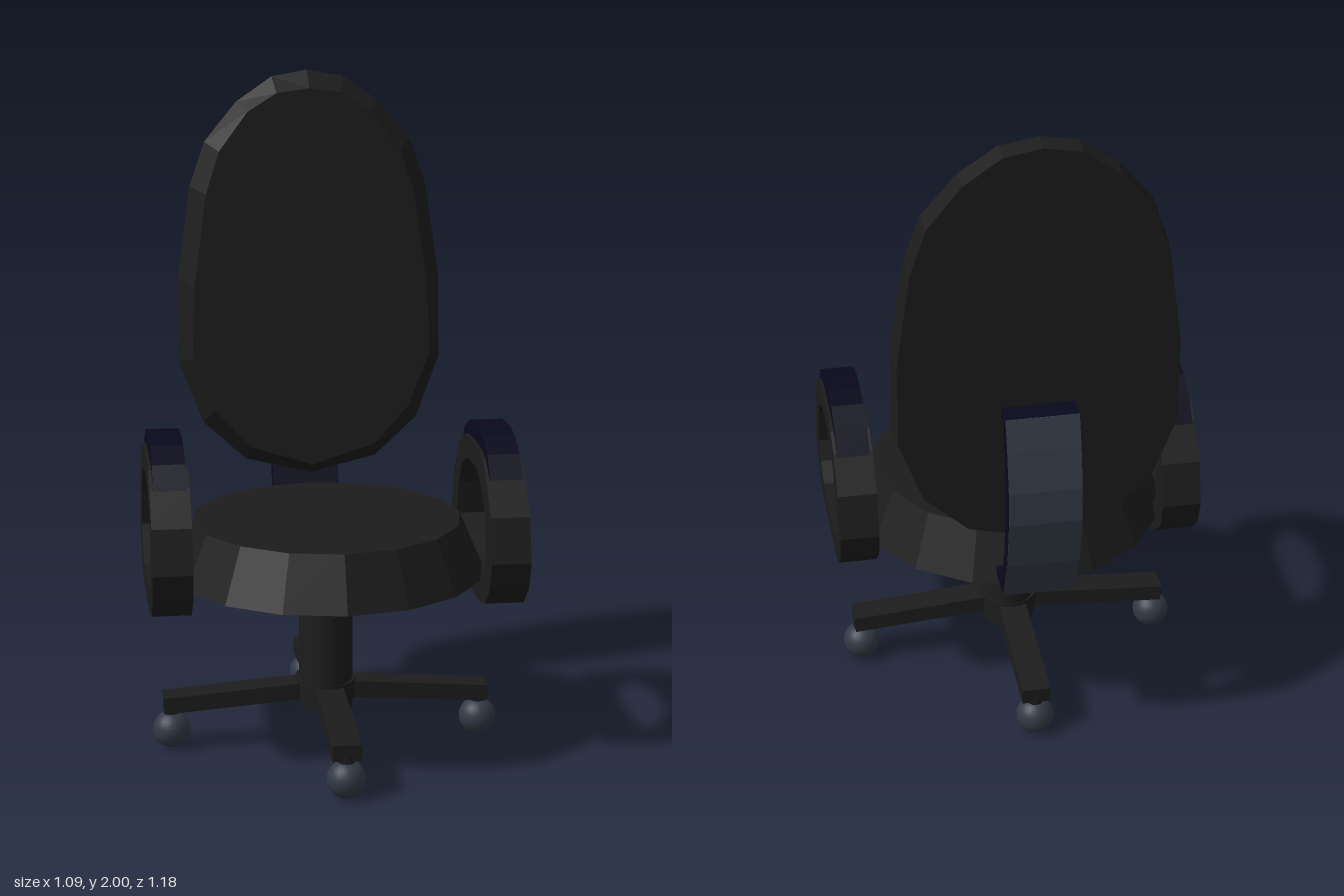
import * as THREE from 'three';

function material(name, color, flat = true) {
  const m = new THREE.MeshStandardMaterial({ color });
  m.name = name;
  m.flatShading = flat;
  return m;
}

// Extrudes a (z, y) outline along x, centred on x = 0; the hole winds opposite to the outline
function sideExtrude(points, width, hole) {
  const shape = new THREE.Shape(points.map(p => new THREE.Vector2(...p)));
  if (hole) shape.holes.push(new THREE.Path(hole.map(p => new THREE.Vector2(...p)).reverse()));
  const geo = new THREE.ExtrudeGeometry(shape, { depth: width, bevelEnabled: false });
  geo.translate(0, 0, -width / 2);
  geo.rotateY(-Math.PI / 2);
  return geo;
}

// Band between an outer polyline and an inner polyline
const band = (outer, inner, width) => sideExtrude([...outer, ...[...inner].reverse()], width);

// Mirrors a half outline (first and last points on the axis) into a full loop
const mirrorLoop = (half, axis = 0) =>
  [...half, ...half.slice(1, -1).reverse().map(([u, v]) => [2 * axis - u, v])];

// Backrest: bevelled front outline, widest middle outline, back outline
function backrestGeometry() {
  const wide = mirrorLoop([[0, 2], [0.11, 1.98], [0.22, 1.905], [0.32, 1.785], [0.367, 1.65],
    [0.408, 1.365], [0.409, 1.105], [0.337, 0.915], [0.205, 0.795], [0, 0.745]]);
  const small = mirrorLoop([[0, 1.948], [0.1, 1.935], [0.19, 1.88], [0.28, 1.76], [0.322, 1.63],
    [0.363, 1.34], [0.37, 1.13], [0.305, 0.965], [0.195, 0.845], [0, 0.785]]);
  const rings = [
    small.map(([x, y]) => [x, y, -0.28 - 0.074 * (y - 0.785)]),
    wide.map(([x, y]) => [x, y, -0.34 - 0.071 * (y - 0.745)]),
    wide.map(([x, y]) => [x * 0.978, y - 0.008, -0.445 - 0.036 * (y - 0.745)]),
  ];
  const n = wide.length;
  const pos = rings.flat(2);
  const index = [];
  for (let r = 0; r < 2; r++) {
    for (let i = 0; i < n; i++) {
      const j = (i + 1) % n;
      const a = r * n + i, b = r * n + j;
      index.push(a, b, a + n, b, b + n, a + n);
    }
  }
  const front = pos.length / 3;
  pos.push(0, 1.3, -0.28 - 0.074 * 0.515, 0, 1.3, -0.445 - 0.036 * 0.563);
  for (let i = 0; i < n; i++) {
    const j = (i + 1) % n;
    index.push(front, j, i, front + 1, 2 * n + i, 2 * n + j);
  }
  const geo = new THREE.BufferGeometry();
  geo.setAttribute('position', new THREE.Float32BufferAttribute(pos, 3));
  geo.setIndex(index);
  const flat = geo.toNonIndexed();
  flat.computeVertexNormals();
  return flat;
}

export function createModel() {
  const model = new THREE.Group();
  model.name = 'officeChair';
  const black = material('blackFabric', 0x1c1c1c);
  const blackSmooth = black.clone();
  blackSmooth.flatShading = false;
  const navy = material('navyPlastic', 0x08081c);
  const slate = material('slateGrey', 0x323945, false);

  const add = (name, geo, mat, parent = model) => {
    const mesh = new THREE.Mesh(geo, mat);
    mesh.name = name;
    parent.add(mesh);
    return mesh;
  };

  // Seat and backrest
  add('seat', new THREE.CylinderGeometry(0.405, 0.475, 0.162, 16), black).position.set(-0.004, 0.629, 0.06);
  add('backrest', backrestGeometry(), black).position.x = -0.003;

  // Curved bracket joining seat and backrest, with a thin strip on its outer face
  const outer = [[-0.45, 1.195], [-0.525, 1.19], [-0.555, 1.1], [-0.58, 0.98], [-0.583, 0.875],
    [-0.555, 0.72], [-0.49, 0.575], [-0.38, 0.58]];
  const inner = [[-0.45, 1.165], [-0.495, 1.165], [-0.515, 1.09], [-0.533, 0.98], [-0.535, 0.875],
    [-0.512, 0.735], [-0.46, 0.602], [-0.38, 0.602]];
  add('backBracket', band(outer, inner, 0.212), navy);
  const strip = outer.slice(1, 7);
  add('bracketStrip', band(strip.map(([z, y]) => [z - 0.004, y]), strip, 0.21), slate);

  // Armrest loops with pads
  const mid = 0.093;
  const ringOuter = mirrorLoop([[mid, 0.938], [0.2, 0.935], [0.25, 0.922], [0.31, 0.88], [0.39, 0.78],
    [0.423, 0.65], [0.395, 0.565], [0.325, 0.502], [0.24, 0.482], [mid, 0.482]], mid);
  const ringInner = mirrorLoop([[mid, 0.872], [0.165, 0.87], [0.255, 0.83], [0.312, 0.755],
    [0.33, 0.65], [0.302, 0.59], [0.23, 0.55], [mid, 0.547]], mid);
  const padHalf = [[0.325, 0.875], [0.275, 0.94], [0.2, 0.978], [0.13, 0.99]];
  const padUnder = [[0.3, 0.87], [0.25, 0.91], [0.2, 0.93], [0.13, 0.93]];
  const across = half => [...half, ...[...half].reverse().map(([z, y]) => [2 * mid - z, y])];
  for (const [side, x] of [['left', 0.489], ['right', -0.489]]) {
    const arm = new THREE.Group();
    arm.name = side + 'Armrest';
    arm.position.x = x;
    model.add(arm);
    add('armLoop', sideExtrude(ringOuter, 0.116, ringInner), black, arm);
    add('armPad', band(across(padHalf), across(padUnder), 0.096), navy, arm);
  }

  // Column and hub, slightly deeper than wide
  const base = new THREE.Group();
  base.name = 'base';
  base.position.set(-0.007, 0, 0.062);
  model.add(base);
  const column = add('column', new THREE.CylinderGeometry(0.081, 0.081, 0.43, 24), blackSmooth, base);
  column.position.y = 0.335;
  column.scale.z = 1.3;
  const hub = add('hub', new THREE.CylinderGeometry(0.092, 0.092, 0.058, 24), blackSmooth, base);
  hub.position.y = 0.181;
  hub.scale.z = 1.16;

  // Four sloping legs with ball casters
  for (let i = 0; i < 4; i++) {
    const spoke = new THREE.Group();
    spoke.name = 'spoke' + (i + 1);
    spoke.rotation.y = i * Math.PI / 2;
    base.add(spoke);
    const leg = add('leg', new THREE.BoxGeometry(0.46, 0.05, 0.085), black, spoke);
    leg.position.set(0.265, 0.162, 0);
    leg.rotation.z = -0.075;
    add('casterStem', new THREE.CylinderGeometry(0.025, 0.025, 0.04, 12), blackSmooth, spoke)
      .position.set(0.471, 0.125, 0);
    add('caster', new THREE.SphereGeometry(0.057, 20, 14), slate, spoke).position.set(0.471, 0.06, 0);
  }
  return model;
}
